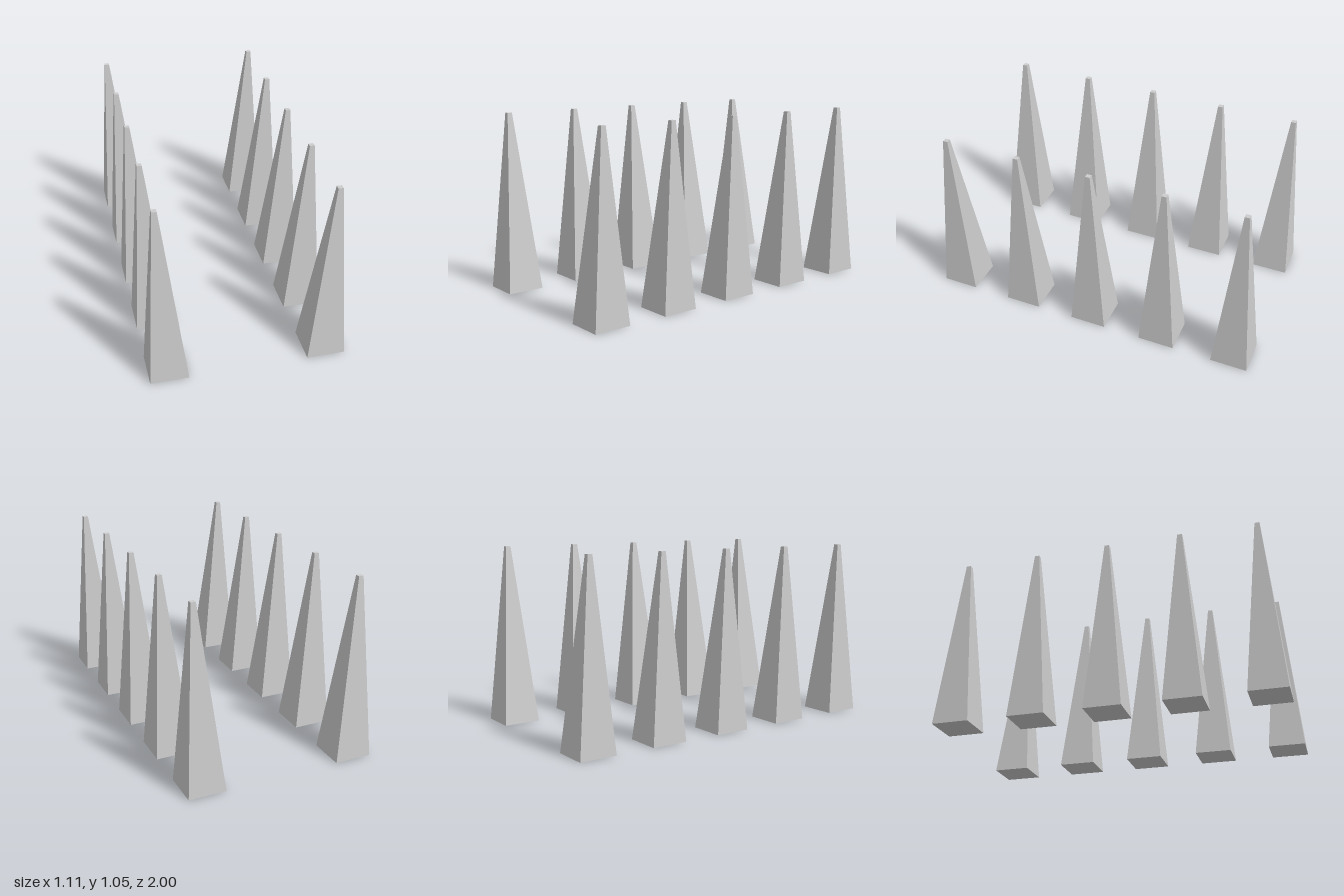
import * as THREE from 'three';

const HEIGHT = 1.05, BASE = 0.217, TIP = 0.028;
const BASE_X = 0.448, LEAN = 0.035; // tips lean outwards
const ROWS = [-0.891, -0.441, 0, 0.441, 0.891];

// Square spike: a box whose top is shrunk and shifted sideways
function spikeGeometry(lean) {
  const geometry = new THREE.BoxGeometry(BASE, HEIGHT, BASE).translate(0, HEIGHT / 2, 0);
  const p = geometry.attributes.position;
  for (let i = 0; i < p.count; i++) {
    if (p.getY(i) < HEIGHT / 2) continue;
    p.setX(i, p.getX(i) * TIP / BASE + lean);
    p.setZ(i, p.getZ(i) * TIP / BASE);
  }
  geometry.computeVertexNormals();
  return geometry;
}

export function createModel() {
  const model = new THREE.Group();
  model.name = 'spikes';
  const material = new THREE.MeshStandardMaterial({ color: 0xcccccc, flatShading: true });

  // Two mirrored rows of five spikes
  for (const side of [1, -1]) {
    const row = new THREE.Group();
    row.name = side > 0 ? 'leftRow' : 'rightRow';
    const geometry = spikeGeometry(side * LEAN);
    ROWS.forEach((z, i) => {
      const spike = new THREE.Mesh(geometry, material);
      spike.name = `spike${i + 1}`;
      spike.position.set(side * BASE_X, 0, z);
      row.add(spike);
    });
    model.add(row);
  }
  return model;
}
